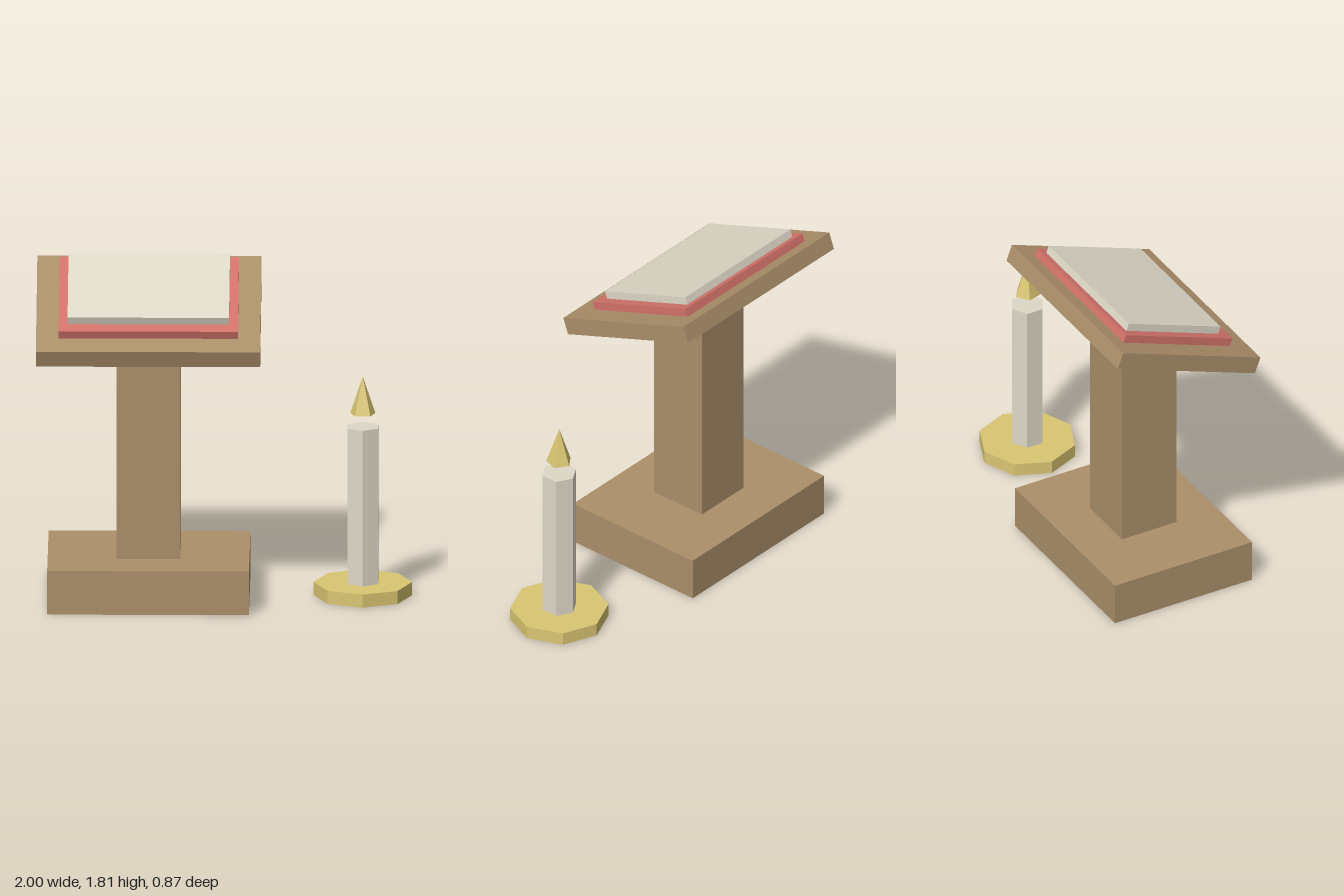
import * as THREE from 'three';

const material = (name, color) => {
  const m = new THREE.MeshStandardMaterial({ color, flatShading: true });
  m.name = name;
  return m;
};

export function createModel() {
  const wood = material('wood', 0xab8f6a);
  const red = material('red cover', 0xd2736a);
  const cream = material('cream', 0xded8c7);
  const gold = material('gold', 0xdac672);

  const model = new THREE.Group();
  model.name = 'lecternAndCandle';

  const add = (parent, name, geometry, mat, y) => {
    const mesh = new THREE.Mesh(geometry, mat);
    mesh.name = name;
    mesh.position.y = y;
    parent.add(mesh);
    return mesh;
  };

  // Lectern: base block, square post and tilted desk carrying a book
  const lectern = new THREE.Group();
  lectern.name = 'lectern';
  lectern.position.x = -0.403;
  model.add(lectern);
  add(lectern, 'base', new THREE.BoxGeometry(1.075, 0.24, 0.84), wood, 0.12);
  add(lectern, 'post', new THREE.BoxGeometry(0.34, 1.2, 0.336), wood, 0.84);

  // Stacked slabs, all sloping down towards the reader
  const slabs = [
    ['desk', 1.195, 0.096, 0.896, wood, 1.562],
    ['bookCover', 0.955, 0.048, 0.696, red, 1.636],
    ['bookPages', 0.86, 0.043, 0.6, cream, 1.686],
  ];
  for (const [name, w, h, d, mat, y] of slabs) {
    add(lectern, name, new THREE.BoxGeometry(w, h, d), mat, y).rotation.x = 0.35;
  }

  // Candle: octagonal dish, hexagonal wax and a floating five-sided flame
  const candle = new THREE.Group();
  candle.name = 'candle';
  candle.position.x = 0.737;
  model.add(candle);
  add(candle, 'candleDish', new THREE.CylinderGeometry(0.263, 0.263, 0.072, 8), gold, 0.036);
  add(candle, 'candleWax', new THREE.CylinderGeometry(0.095, 0.095, 0.858, 6), cream, 0.501);
  add(candle, 'flame', new THREE.ConeGeometry(0.07, 0.207, 5), gold, 1.1025).rotation.y = Math.PI;

  return model;
}
